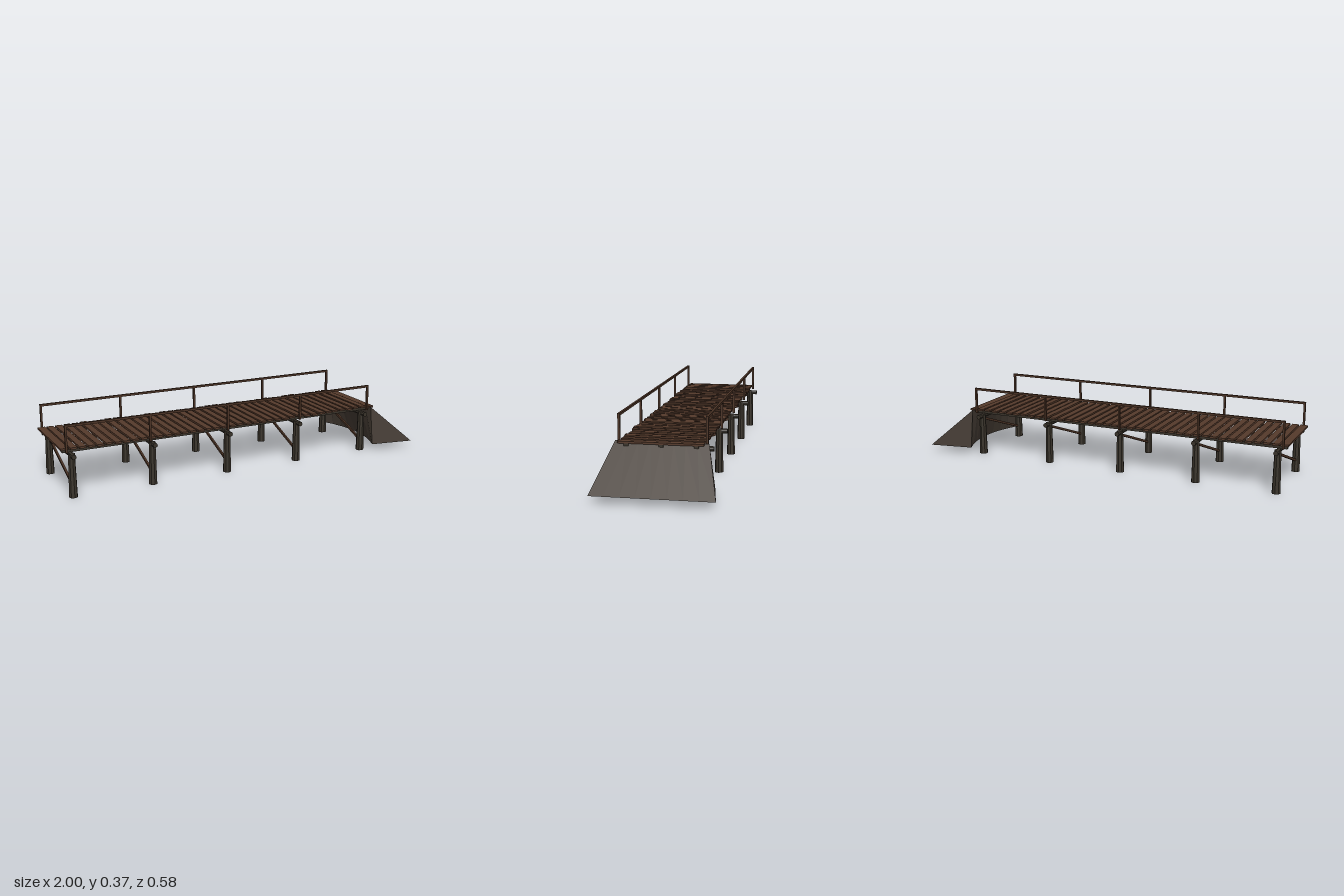
import * as THREE from 'three';

export function createModel() {
  const root = new THREE.Group();
  root.name = 'timberFootbridge';

  const material = (name, color, flat = false) => {
    const m = new THREE.MeshStandardMaterial({ color, flatShading: flat });
    m.name = name;
    return m;
  };
  const plankWood = material('plankWood', 0x553a2b);
  const railWood = material('railWood', 0x4a3224);
  const darkTimber = material('darkTimber', 0x39332a, true);
  const earth = material('earth', 0x433a32, true);

  let seed = 7;
  const jitter = (amount) => {
    seed = (seed * 16807) % 2147483647;
    return (seed / 2147483647 - 0.5) * 2 * amount;
  };

  const add = (name, geometry, mat, x, y, z) => {
    const mesh = new THREE.Mesh(geometry, mat);
    mesh.name = name;
    mesh.position.set(x, y, z);
    root.add(mesh);
    return mesh;
  };
  const box = (name, mat, w, h, d, x, y, z) => add(name, new THREE.BoxGeometry(w, h, d), mat, x, y, z);

  // Deck planks, slightly uneven in length and height
  const plankCount = 40;
  for (let i = 0; i < plankCount; i++) {
    const x = -0.98 + (i * 1.752) / (plankCount - 1);
    const end = i === 0 || i === plankCount - 1;
    box('deckPlank', plankWood, end ? 0.04 : 0.034, 0.01, 0.408 + jitter(0.008),
      x, 0.245 + jitter(0.002), jitter(0.004));
  }

  // Stringers under the deck
  for (const z of [-0.165, 0, 0.165]) box('stringer', darkTimber, 1.775, 0.018, 0.022, -0.1, 0.231, z);

  // Bents: two tapered piles, a round cap beam and a diagonal brace
  for (let i = 0; i < 5; i++) {
    const x = -0.947 + i * 0.4165;
    for (const side of [-1, 1])
      add('pile', new THREE.CylinderGeometry(0.017, 0.022, 0.22, 8), darkTimber, x, 0.11, side * 0.195);
    const cap = add('capBeam', new THREE.CylinderGeometry(0.0125, 0.0125, 0.474, 8), darkTimber, x, 0.213, 0);
    cap.rotation.x = Math.PI / 2;
    const brace = box('diagonalBrace', railWood, 0.01, 0.012, Math.hypot(0.38, 0.14), x, 0.13, 0);
    brace.rotation.x = Math.atan2(0.14, 0.38);
  }

  // Handrails on both sides
  for (const side of [-1, 1]) {
    const z = side * 0.209;
    for (let i = 0; i < 5; i++) box('railPost', railWood, 0.01, 0.14, 0.012, -0.975 + i * 0.43, 0.3, z);
    box('handrail', railWood, 1.73, 0.011, 0.012, -0.115, 0.365, z);
  }

  // Earth ramp: triangular sections across z, with a hollowed back foot
  const positions = [];
  const indices = [];
  const steps = 8;
  for (let i = 0; i <= steps; i++) {
    const t = -1 + (2 * i) / steps;
    positions.push(0.765, 0.246, 0.222 * t);
    positions.push(1, 0.038, 0.291 * t);
    positions.push(0.765 + 0.06 * (1 - t * t), 0.038, 0.25 * t);
  }
  for (let i = 0; i < steps; i++) {
    for (let k = 0; k < 3; k++) {
      const a = i * 3 + k;
      const b = i * 3 + ((k + 1) % 3);
      indices.push(a, a + 3, b, b, a + 3, b + 3);
    }
  }
  const last = steps * 3;
  indices.push(0, 1, 2, last, last + 2, last + 1);
  const ramp = new THREE.BufferGeometry();
  ramp.setAttribute('position', new THREE.Float32BufferAttribute(positions, 3));
  ramp.setIndex(indices);
  ramp.computeVertexNormals();
  add('earthRamp', ramp, earth, 0, 0, 0);

  return root;
}
